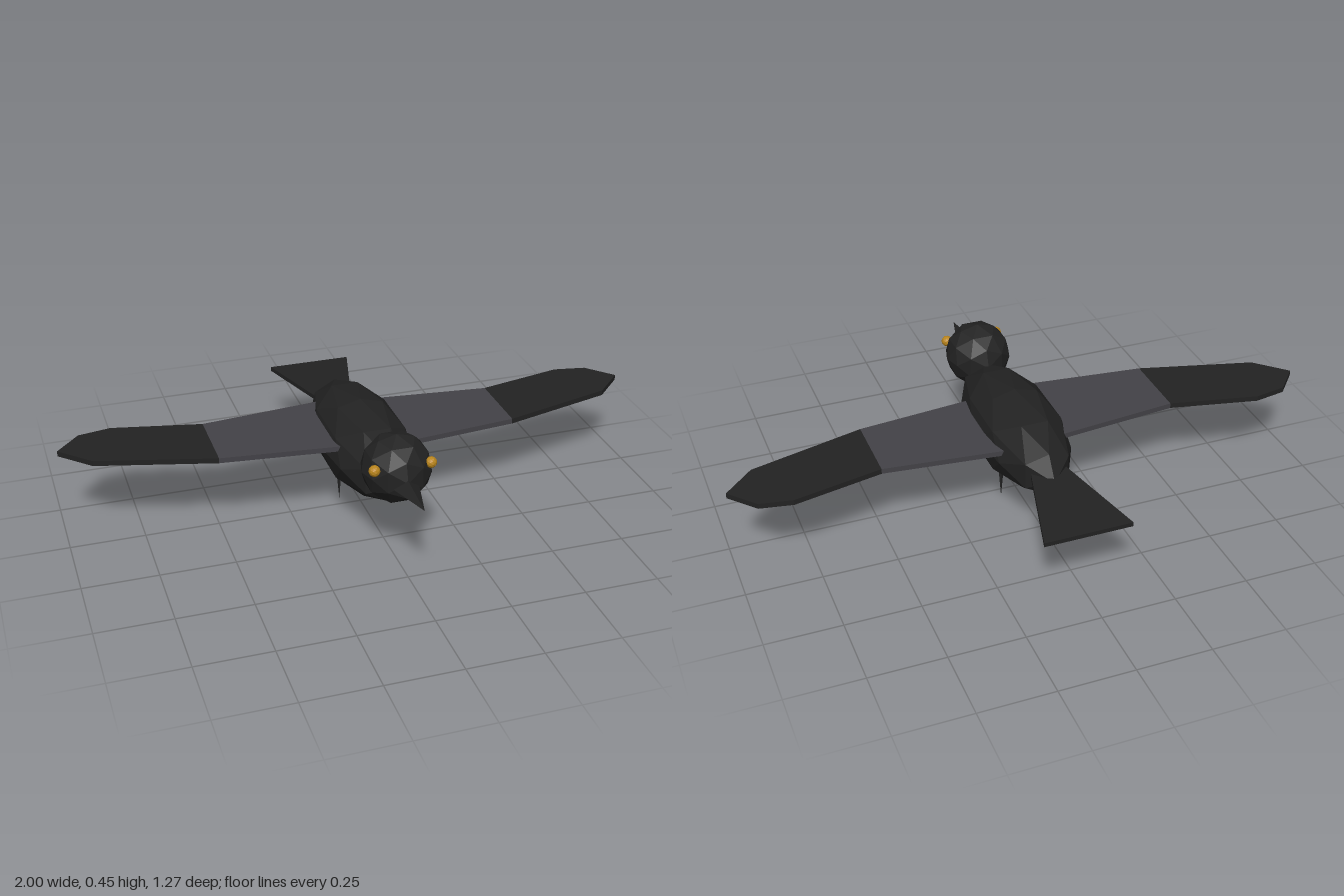
import * as THREE from 'three';

export function createModel() {
  const bird = new THREE.Group();
  bird.name = 'bird';

  const material = (name, color) => {
    const m = new THREE.MeshStandardMaterial({ color, flatShading: true });
    m.name = name;
    return m;
  };
  const black = material('blackFeather', 0x222222);
  const grey = material('greyFeather', 0x434247);
  const amber = material('amberEye', 0xb8841c);

  const add = (name, geometry, mat, parent = bird) => {
    const mesh = new THREE.Mesh(geometry, mat);
    mesh.name = name;
    parent.add(mesh);
    return mesh;
  };
  // Faceted ball, stretched along its axes
  const ball = (name, mat, [x, y, z], [rx, ry, rz], detail = 1) => {
    const geometry = new THREE.IcosahedronGeometry(1, detail).scale(rx, ry, rz);
    return add(name, geometry.translate(x, y, z), mat);
  };
  // Flat plate from an (x, z) outline, thickened upwards
  const plate = (outline, depth) => {
    const shape = new THREE.Shape(outline.map(([x, z]) => new THREE.Vector2(x, -z)));
    return new THREE.ExtrudeGeometry(shape, { depth, bevelEnabled: false }).rotateX(-Math.PI / 2);
  };

  // Body and head
  ball('body', black, [0, 0.247, 0], [0.15, 0.147, 0.36]);
  ball('head', black, [0, 0.333, 0.37], [0.115, 0.116, 0.116]);

  // Four-sided beak, tilted slightly upwards
  const beak = new THREE.ConeGeometry(1, 0.18, 4).scale(0.046, 1, 0.038);
  beak.translate(0, 0.09, 0).rotateX(Math.PI / 2 - 0.065);
  add('beak', beak.translate(0, 0.31, 0.455), black);

  // Wings: a grey inner panel and a black rounded tip
  const innerPanel = plate([[-0.06, 0.153], [-0.51, 0.105], [-0.51, -0.145], [-0.06, -0.193]], 0.018);
  const outerPanel = plate([
    [-0.51, 0.105], [-0.9, 0], [-1, -0.1], [-0.92, -0.19], [-0.81, -0.21], [-0.51, -0.145],
  ], 0.018);
  for (const [name, turn] of [['rightWing', 0], ['leftWing', Math.PI]]) {
    const wing = new THREE.Group();
    wing.name = name;
    wing.position.y = 0.29;
    wing.rotation.z = turn;
    add('innerWing', innerPanel, grey, wing);
    add('wingTip', outerPanel, black, wing);
    bird.add(wing);
  }

  // Tail fan, sloping down to the back
  const tail = add('tail', plate([[-0.06, 0], [0.06, 0], [0.148, -0.335], [-0.148, -0.335]], 0.015), black);
  tail.position.set(0, 0.247, -0.3);
  tail.rotation.x = -0.05;

  // Eyes and pointed legs
  for (const [side, s] of [['left', 1], ['right', -1]]) {
    ball(side + 'Eye', amber, [s * 0.093, 0.367, 0.434], [0.019, 0.019, 0.019]);
    const leg = new THREE.ConeGeometry(0.014, 0.16, 5).rotateX(Math.PI);
    add(side + 'Leg', leg.translate(s * 0.065, 0.08, -0.037), black);
  }

  return bird;
}
